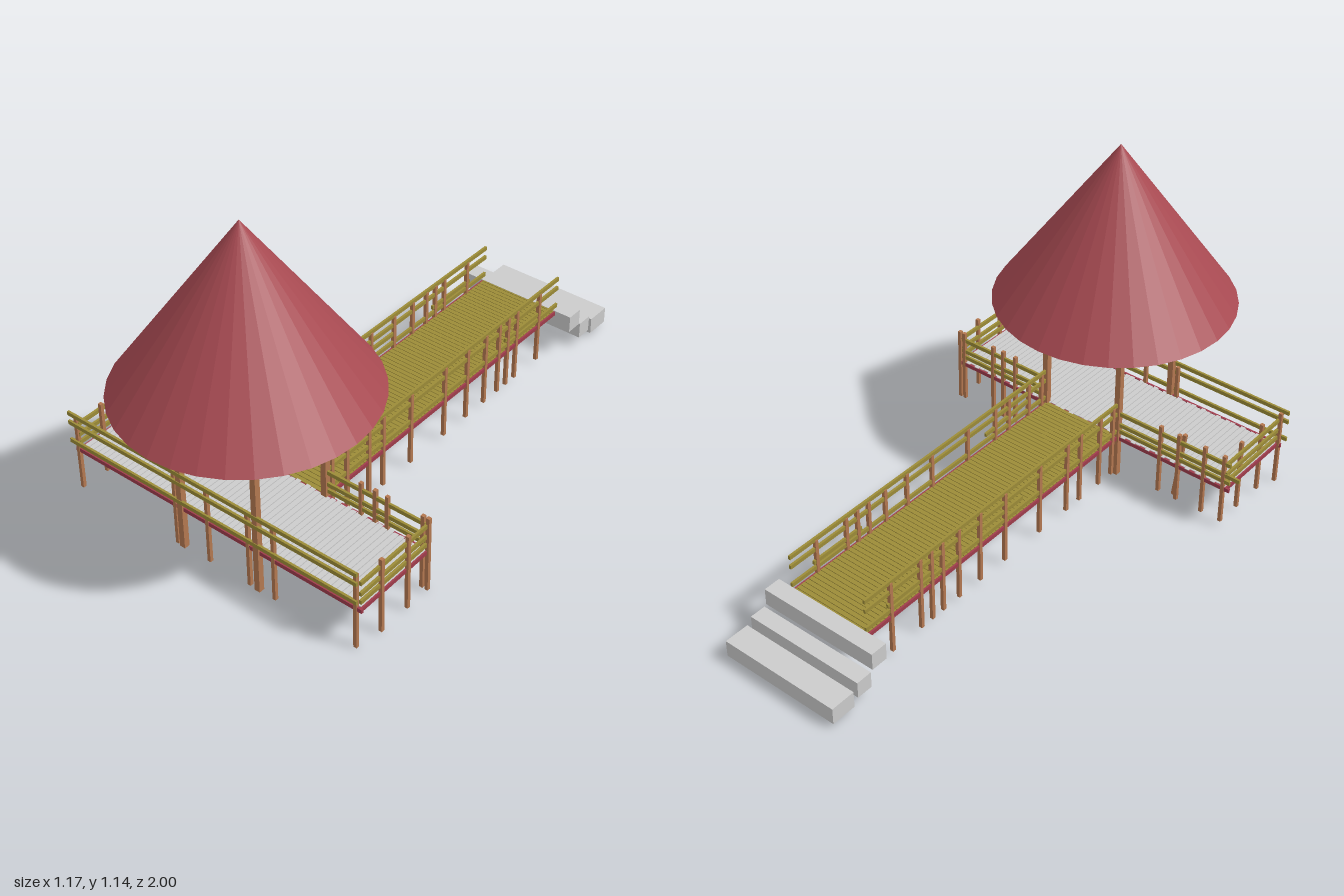
import * as THREE from 'three';

const mat = (color) => new THREE.MeshStandardMaterial({ color, flatShading: true });
const ROOF = mat(0xa84a52), BEAM = mat(0xa03c4c), POST = mat(0xb47850), RAIL = mat(0x9c8c38), GREY = mat(0xcccccc);
ROOF.side = THREE.DoubleSide;

// Outline of the pier
const LEFT = 0.575, RIGHT = -0.535, FRONT = 0.75, BACK = 0.445;
const WALK = [-0.105, 0.195], WALK_END = -0.78, DECK = 0.15;

function group(parent, name) {
  const g = new THREE.Group();
  g.name = name;
  parent.add(g);
  return g;
}

// Box given by its limits on each axis
function box(parent, name, material, [x0, x1], [y0, y1], [z0, z1]) {
  const m = new THREE.Mesh(new THREE.BoxGeometry(x1 - x0, y1 - y0, z1 - z0), material);
  m.position.set((x0 + x1) / 2, (y0 + y1) / 2, (z0 + z1) / 2);
  m.name = name;
  parent.add(m);
  return m;
}

const around = (c, size) => [c - size / 2, c + size / 2];

const railX = (g, x0, x1, y, z, material = RAIL, name = 'rail') =>
  box(g, name, material, [x0, x1], around(y, 0.014), around(z, 0.008));
const railZ = (g, x, y, z0, z1, material = RAIL, name = 'rail') =>
  box(g, name, material, around(x, 0.008), around(y, 0.014), [z0, z1]);
const post = (g, x, z, bottom = 0.01, top = 0.28, w = 0.012) =>
  box(g, 'post', POST, around(x, w), [bottom, top], around(z, w));

export function createModel() {
  const model = new THREE.Group();
  model.name = 'pier';

  // Conical roof, open below, with a ceiling inside
  const shelter = group(model, 'shelter');
  const roof = new THREE.Mesh(new THREE.ConeGeometry(0.405, 0.565, 32, 1, true), ROOF);
  roof.name = 'roof';
  roof.position.set(0.035, 0.8575, 0.595);
  shelter.add(roof);
  const ceiling = new THREE.Mesh(new THREE.CircleGeometry(0.27, 32), ROOF);
  ceiling.name = 'ceiling';
  ceiling.rotation.x = Math.PI / 2;
  ceiling.position.set(0.035, 0.763, 0.595);
  shelter.add(ceiling);

  // Roof posts and tie beams
  for (const x of WALK) {
    for (const z of [FRONT, BACK]) post(shelter, x, z, 0, 0.6, 0.02);
    railZ(shelter, x, 0.51, BACK, FRONT, RAIL, 'tieBeam');
  }
  railX(shelter, -0.085, 0.245, 0.51, BACK, RAIL, 'tieBeam');

  // Platform deck: boards running front to back
  const platform = group(model, 'platform');
  const boards = 56, pitch = (LEFT - RIGHT) / boards;
  for (let i = 0; i < boards; i++) {
    const x = RIGHT + (i + 0.5) * pitch, shift = 0.004 * Math.sin(i * 2.4);
    box(platform, 'deckBoard', GREY, around(x, pitch * 0.85), [DECK - 0.002, DECK + 0.009],
      [BACK + shift, FRONT - 0.006 + shift]);
  }
  for (const z of [FRONT, BACK]) railX(platform, -0.55, 0.583, DECK, z, BEAM, 'frameBeam');
  for (const x of [RIGHT, LEFT]) railZ(platform, x, DECK, BACK, FRONT, BEAM, 'frameBeam');

  // Platform railings
  const railings = group(model, 'platformRailing');
  for (const y of [0.285, 0.25, 0.18]) railX(railings, -0.565, 0.57, y, FRONT + 0.008);
  for (const y of [0.25, 0.21, 0.18])
    for (const x of [RIGHT, LEFT]) railZ(railings, x, y, BACK, FRONT);
  for (const y of [0.25, 0.205, 0.18]) {
    railX(railings, y === 0.205 ? -0.585 : -0.55, WALK[0], y, BACK);
    railX(railings, WALK[1], 0.57, y, BACK);
  }
  for (const x of [-0.54, -0.13, 0, 0.16, 0.257, 0.56]) post(railings, x, FRONT, 0);
  for (const x of [-0.45, -0.35, -0.278]) post(railings, x, BACK, 0.015);
  for (const x of [0.332, 0.385, 0.43, 0.56]) post(railings, x, BACK, 0.005);
  for (const z of [0.66, 0.54, BACK]) {
    post(railings, RIGHT + 0.01, z, 0.015);
    post(railings, LEFT + 0.004, z, 0.005);
  }
  // One leaning post
  post(railings, -0.348, BACK + 0.012, 0.018, 0.28).rotation.z = 0.12;

  // Walkway deck: boards running across
  const walkway = group(model, 'walkway');
  const planks = 72, step = (BACK - WALK_END) / planks;
  for (let i = 0; i < planks; i++) {
    const z = WALK_END + (i + 0.5) * step;
    box(walkway, 'plank', RAIL, [WALK[0] + 0.002, WALK[1] - 0.002], [DECK - 0.002, DECK + 0.009],
      around(z, step * 0.88));
  }

  // Walkway beams, railings and posts on both sides
  for (const x of WALK) {
    railZ(walkway, x, DECK, WALK_END, BACK, BEAM, 'frameBeam');
    for (const y of [0.287, 0.25, 0.18]) railZ(walkway, x, y, WALK_END, BACK);
    for (const z of [0.415, 0.345, 0.24, 0.17, 0.03, -0.145, -0.265, -0.365, -0.44, -0.49, -0.54, -0.67])
      post(walkway, x, z, 0.015, 0.285);
  }
  // Short loose rails
  railZ(walkway, WALK[1], 0.212, 0.12, 0.34).rotation.x = -0.06;
  railZ(walkway, WALK[0], 0.215, -0.26, -0.06);
  for (const x of WALK) railZ(walkway, x, 0.202, -0.685, -0.475);

  // Steps at the shore end
  const steps = group(model, 'steps');
  const treads = [[0.1, 0.16, -0.83, -0.77], [0.038, 0.096, -0.895, -0.838], [0.015, 0.074, -1, -0.912]];
  for (const [y0, y1, z0, z1] of treads) box(steps, 'step', GREY, [-0.175, 0.26], [y0, y1], [z0, z1]);

  return model;
}
